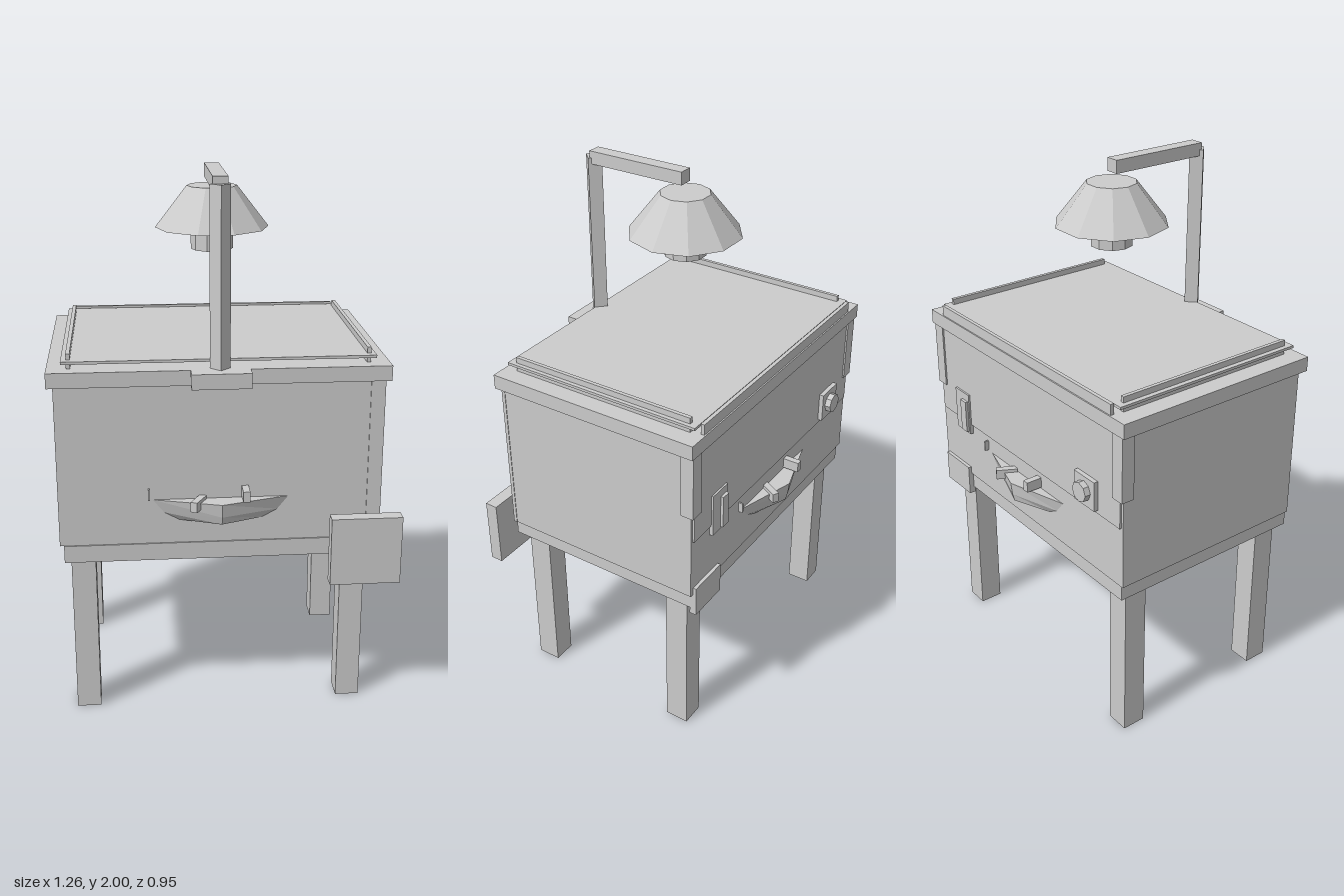
import * as THREE from 'three';

export function createModel() {
  const model = new THREE.Group();
  const grey = new THREE.MeshStandardMaterial({ color: 0xcccccc, flatShading: true });
  grey.name = 'plain grey';
  const CX = -0.027; // centre line of the cabinet

  const add = (name, geometry, parent = model) => {
    const mesh = new THREE.Mesh(geometry, grey);
    mesh.name = name;
    parent.add(mesh);
    return mesh;
  };
  // box from its lower and upper limits
  const box = (name, x0, x1, y0, y1, z0, z1, parent) => {
    const mesh = add(name, new THREE.BoxGeometry(x1 - x0, y1 - y0, z1 - z0), parent);
    mesh.position.set((x0 + x1) / 2, (y0 + y1) / 2, (z0 + z1) / 2);
    return mesh;
  };

  // cabinet
  box('body', -0.61, 0.555, 0.69, 1.29, -0.403, 0.4);
  box('base', -0.595, 0.54, 0.625, 0.69, -0.396, 0.405);
  box('lid', -0.632, 0.575, 1.29, 1.345, -0.42, 0.418);
  box('frontCornerStrip', 0.505, 0.557, 0.69, 1.29, 0.39, 0.404);

  // legs
  for (const x of [-0.573, 0.424])
    for (const z of [-0.36, 0.275]) box('leg', x, x + 0.089, 0, 0.625, z, z + 0.091);

  // raised top sheet and its rails
  box('topSheet', -0.58, 0.522, 1.368, 1.378, -0.394, 0.394);
  for (const x of [-0.562, 0.493]) box('sideRail', x, x + 0.014, 1.345, 1.4, -0.367, 0.367);
  box('backRail', -0.555, 0.496, 1.345, 1.385, -0.415, -0.401);

  // lamp
  box('lampMount', -0.133, 0.076, 1.29, 1.345, 0.418, 0.472);
  const pole = add('lampPole', new THREE.CylinderGeometry(0.036, 0.036, 0.63, 4));
  pole.position.set(CX - 0.002, 1.66, 0.395);
  box('lampArm', -0.055, -0.002, 1.952, 2, 0, 0.395);
  const decagon = (name, top, bottom, y0, y1) => {
    const mesh = add(name, new THREE.CylinderGeometry(top, bottom, y1 - y0, 10));
    mesh.rotation.y = Math.PI / 2;
    mesh.position.set(CX, (y0 + y1) / 2, 0);
  };
  decagon('lampShade', 0.092, 0.209, 1.77, 1.92);
  decagon('lampBulb', 0.078, 0.078, 1.69, 1.77);

  // scoop handle: three triangular sections, narrowing downwards
  const scoopGeometry = () => {
    const sections = [[0.86, 0.245, 0.472], [0.81, 0.205, 0.466], [0.78, 0.15, 0.458]];
    const points = sections.map(([y, w, z]) => [[-w, y, 0.4], [0, y, z], [w, y, 0.4]]);
    const out = [];
    const tri = (a, b, c) => out.push(...a, ...b, ...c);
    for (let i = 0; i < 2; i++)
      for (let j = 0; j < 3; j++) {
        const k = (j + 1) % 3, up = points[i], low = points[i + 1];
        tri(up[j], low[j], low[k]);
        tri(up[j], low[k], up[k]);
      }
    tri(...points[0]);
    tri(points[2][2], points[2][1], points[2][0]);
    const g = new THREE.BufferGeometry();
    g.setAttribute('position', new THREE.Float32BufferAttribute(out, 3));
    g.computeVertexNormals();
    return g;
  };
  for (const turn of [0, Math.PI]) {
    const handle = new THREE.Group();
    handle.name = turn ? 'backHandle' : 'frontHandle';
    handle.position.x = CX;
    handle.rotation.y = turn;
    add('scoop', scoopGeometry(), handle);
    box('straightPin', 0.075, 0.1, 0.865, 0.905, 0.4, 0.465, handle);
    box('thinPin', -0.262, -0.256, 0.865, 0.905, 0.4, 0.42, handle);
    const slanted = box('slantedPin', -0.095, -0.07, 0.835, 0.873, 0.395, 0.475, handle);
    slanted.rotation.y = -0.5;
    model.add(handle);
  }

  // front box at the corner
  box('cornerBox', 0.368, 0.628, 0.53, 0.79, 0.424, 0.473);

  // back panel and corner plates
  box('backPanel', -0.6, 0.545, 0.93, 1.29, -0.41, -0.4);
  box('cornerPlate', -0.619, -0.565, 1.04, 1.29, -0.416, -0.365);
  box('cornerPlate', 0.51, 0.563, 1.04, 1.29, -0.416, -0.365);
  box('lowerPlate', 0.375, 0.54, 0.6, 0.72, -0.416, -0.39);

  // latch
  box('latchPlate', 0.34, 0.435, 0.89, 1.06, -0.417, -0.4);
  box('latchBar', 0.348, 0.385, 0.9, 1.03, -0.428, -0.41);

  // knob
  box('knobPlate', -0.48, -0.365, 0.945, 1.06, -0.427, -0.4);
  const knob = add('knob', new THREE.CylinderGeometry(0.038, 0.038, 0.025, 8));
  knob.rotation.x = Math.PI / 2;
  knob.position.set(-0.422, 1.005, -0.437);

  return model;
}
